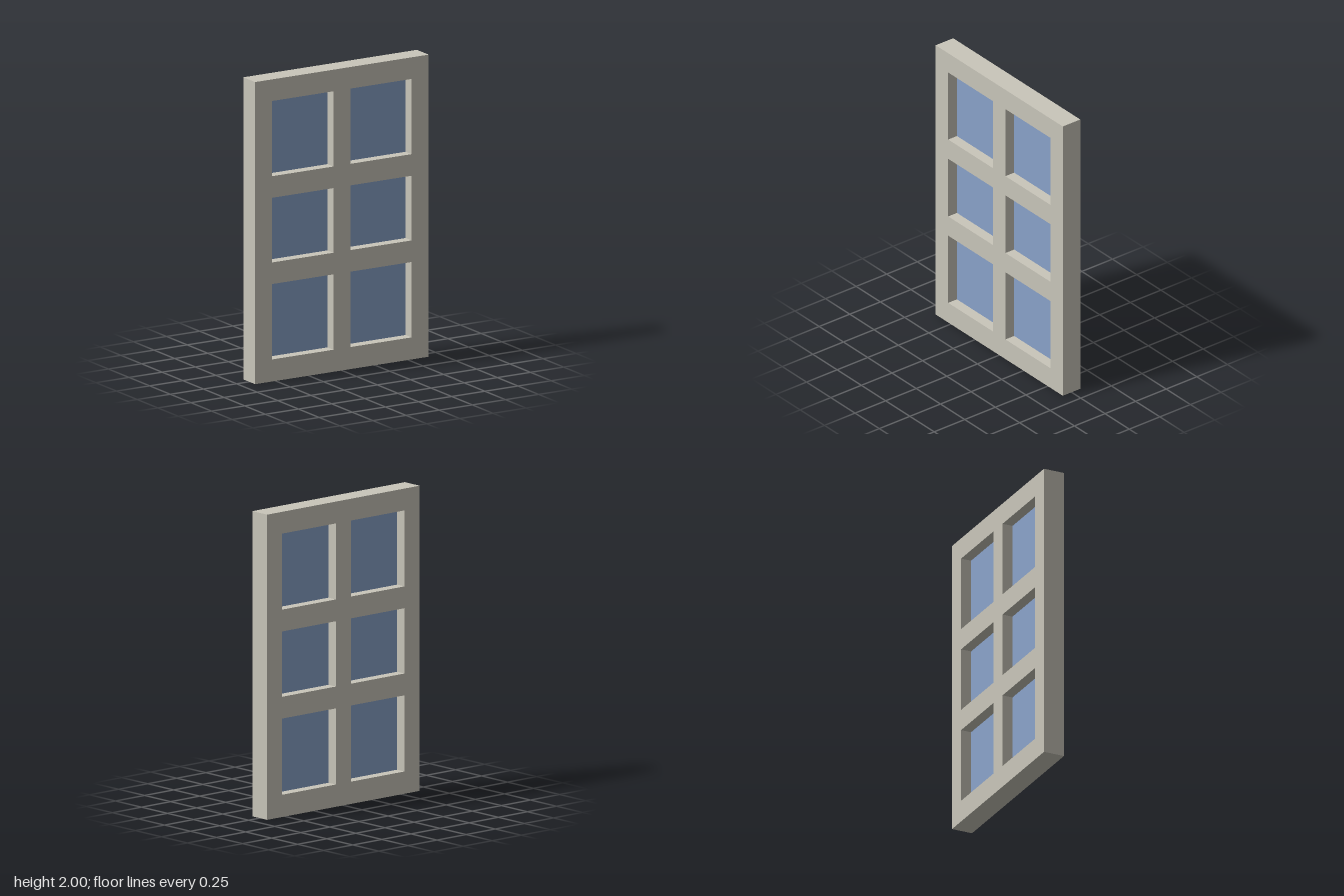
import * as THREE from 'three';

export function createModel() {
  const model = new THREE.Group();
  model.name = 'window';

  const frameMat = new THREE.MeshStandardMaterial({ color: 0xc9c6ba });
  frameMat.name = 'warm grey frame';
  const glassMat = new THREE.MeshStandardMaterial({ color: 0x8aa3ca, side: THREE.DoubleSide });
  glassMat.name = 'blue glass';

  const halfWidth = 0.655, paneOuter = 0.526, paneInner = 0.064, depth = 0.143;
  const paneRows = [[0.146, 0.645], [0.788, 1.216], [1.359, 1.857]];

  function bar(name, x0, x1, y0, y1) {
    const mesh = new THREE.Mesh(new THREE.BoxGeometry(x1 - x0, y1 - y0, depth), frameMat);
    mesh.position.set((x0 + x1) / 2, (y0 + y1) / 2, 0);
    mesh.name = name;
    model.add(mesh);
  }

  // Full-height side stiles
  bar('rightStile', -halfWidth, -paneOuter, 0, 2);
  bar('leftStile', paneOuter, halfWidth, 0, 2);

  // Horizontal rails between the stiles
  const railNames = ['bottomRail', 'lowerRail', 'upperRail', 'topRail'];
  railNames.forEach((name, i) => {
    const y0 = i === 0 ? 0 : paneRows[i - 1][1];
    const y1 = i === 3 ? 2 : paneRows[i][0];
    bar(name, -paneOuter, paneOuter, y0, y1);
  });

  // Centre mullion pieces and recessed panes, row by row
  paneRows.forEach(([y0, y1], row) => {
    bar(`mullion${row + 1}`, -paneInner, paneInner, y0, y1);
    for (const side of [-1, 1]) {
      const pane = new THREE.Mesh(new THREE.PlaneGeometry(paneOuter - paneInner, y1 - y0), glassMat);
      pane.position.set(side * (paneOuter + paneInner) / 2, (y0 + y1) / 2, 0);
      pane.name = `${side < 0 ? 'right' : 'left'}Pane${row + 1}`;
      model.add(pane);
    }
  });

  return model;
}
